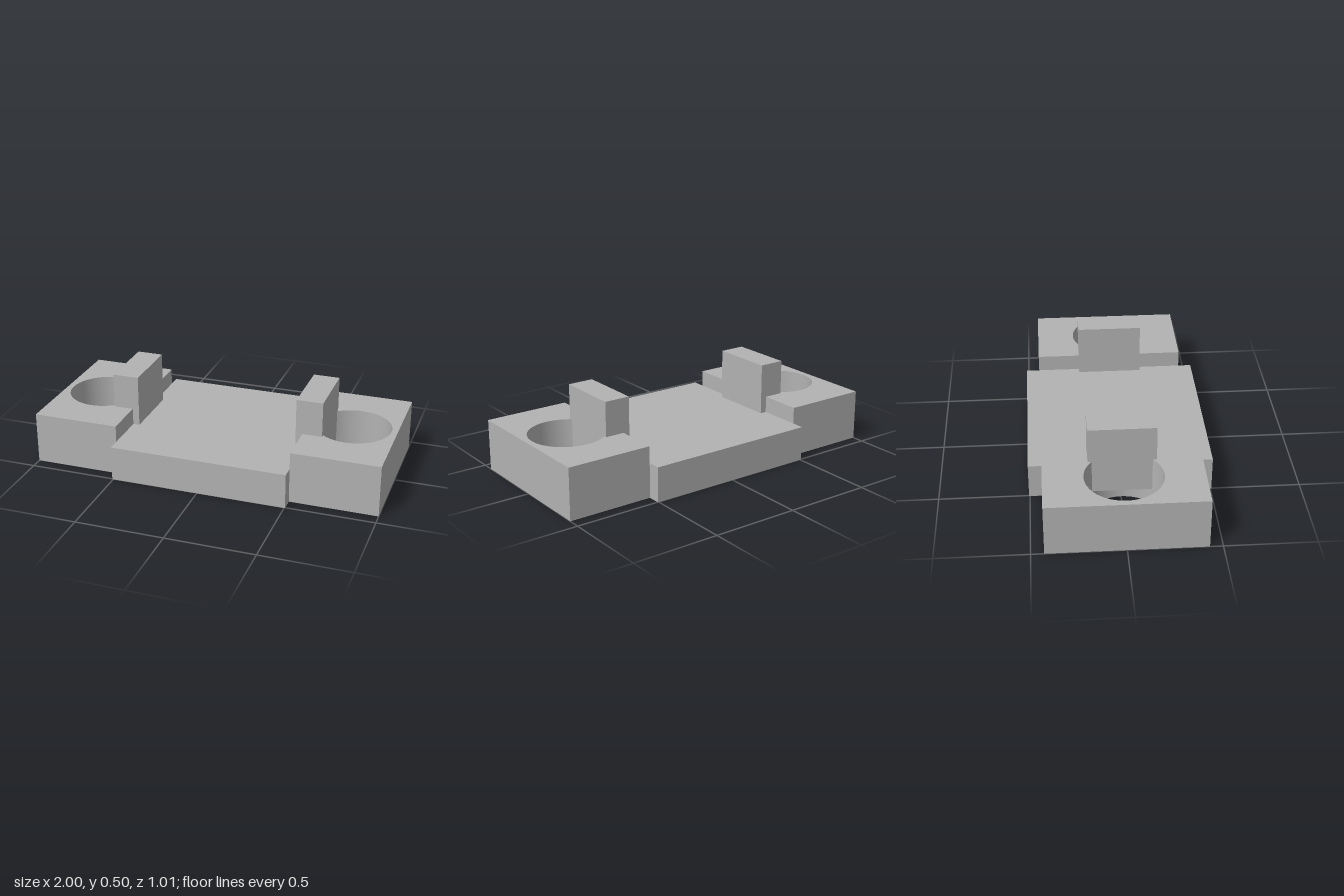
import * as THREE from 'three';
import { toCreasedNormals } from 'three/addons/utils/BufferGeometryUtils.js';

const grey = new THREE.MeshStandardMaterial({ color: 0xb2b2b2 });
grey.name = 'grey';

// Box given by its lower and upper corners
function box(name, [x0, y0, z0], [x1, y1, z1]) {
  const mesh = new THREE.Mesh(new THREE.BoxGeometry(x1 - x0, y1 - y0, z1 - z0), grey);
  mesh.position.set((x0 + x1) / 2, (y0 + y1) / 2, (z0 + z1) / 2);
  mesh.name = name;
  return mesh;
}

// End block with a round through hole
function endBlock(name, side) {
  const inner = 0.505, outer = 1, half = 0.43, height = 0.295;
  const xs = [side * inner, side * outer].sort((a, b) => a - b);
  const shape = new THREE.Shape([
    new THREE.Vector2(xs[0], -half), new THREE.Vector2(xs[1], -half),
    new THREE.Vector2(xs[1], half), new THREE.Vector2(xs[0], half),
  ]);
  const hole = new THREE.Path();
  hole.absarc(side * 0.753, 0, 0.2125, 0, Math.PI * 2, true);
  shape.holes.push(hole);
  const extruded = new THREE.ExtrudeGeometry(shape, { depth: height, bevelEnabled: false, curveSegments: 32 });
  extruded.rotateX(-Math.PI / 2);
  const mesh = new THREE.Mesh(toCreasedNormals(extruded, 0.6), grey);
  mesh.name = name;
  return mesh;
}

export function createModel() {
  const model = new THREE.Group();
  model.name = 'mountingPlate';

  // Low, wide middle plate
  model.add(box('centrePlate', [-0.505, 0, -0.505], [0.505, 0.2, 0.505]));

  // Raised end blocks, each with a post overhanging its hole
  for (const side of [-1, 1]) {
    const label = side > 0 ? 'left' : 'right';
    model.add(endBlock(label + 'EndBlock', side));
    const [x0, x1] = [side * 0.467, side * 0.617].sort((a, b) => a - b);
    model.add(box(label + 'Post', [x0, 0.1, -0.185], [x1, 0.495, 0.185]));
  }
  return model;
}
